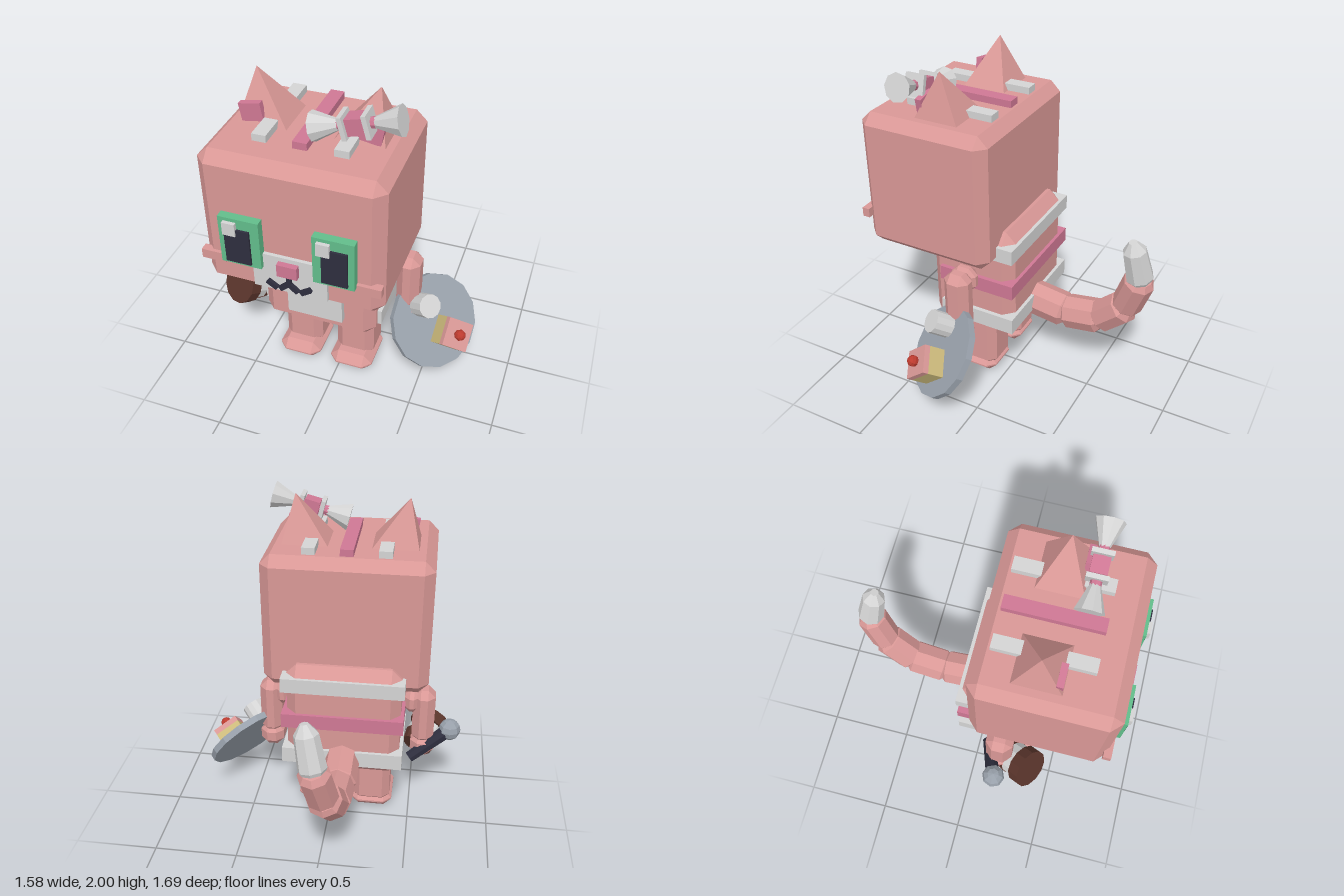
import * as THREE from 'three';
import { ConvexGeometry } from 'three/addons/geometries/ConvexGeometry.js';

const paint = (name, color) => {
  const m = new THREE.MeshStandardMaterial({ color });
  m.name = name;
  return m;
};
const V = (x, y, z) => new THREE.Vector3(x, y, z);
const MID = -0.09; // symmetry plane of the body

export function createModel() {
  const root = new THREE.Group();
  root.name = 'blockCat';
  const pink = paint('furPink', 0xd99896), white = paint('paleGrey', 0xd4d4d4),
    rose = paint('rose', 0xcf7894), green = paint('eyeGreen', 0x62bd8b),
    dark = paint('ink', 0x2e2e3e), brown = paint('brown', 0x59342b),
    steel = paint('steel', 0x99a1ab), yellow = paint('yellow', 0xcdbb7c),
    red = paint('red', 0xbd3b2f);

  // Faceted mesh
  const add = (name, geo, mat, pos = [0, 0, 0], parent = root) => {
    const g = geo.index ? geo.toNonIndexed() : geo;
    g.computeVertexNormals();
    const m = new THREE.Mesh(g, mat);
    m.name = name;
    m.position.set(...pos);
    parent.add(m);
    return m;
  };
  // Plain box from its limits
  const box = (name, mat, x0, x1, y0, y1, z0, z1) =>
    add(name, new THREE.BoxGeometry(x1 - x0, y1 - y0, z1 - z0), mat,
      [(x0 + x1) / 2, (y0 + y1) / 2, (z0 + z1) / 2]);
  // Box with every edge chamfered by c
  const chamfer = (name, mat, x0, x1, y0, y1, z0, z1, c) => {
    const h = [(x1 - x0) / 2, (y1 - y0) / 2, (z1 - z0) / 2], pts = [];
    for (const sx of [-1, 1]) for (const sy of [-1, 1]) for (const sz of [-1, 1])
      for (let k = 0; k < 3; k++) {
        const d = h.map((v, i) => (i === k ? v : v - c));
        pts.push(V(sx * d[0], sy * d[1], sz * d[2]));
      }
    return add(name, new ConvexGeometry(pts), mat,
      [(x0 + x1) / 2, (y0 + y1) / 2, (z0 + z1) / 2]);
  };
  // Turned part whose y axis runs from a to b; profile is [radius, fraction of length]
  const turned = (name, mat, a, b, profile, sides, parent = root) => {
    const dir = b.clone().sub(a), len = dir.length();
    const pts = profile.map(([r, t]) => new THREE.Vector2(r, t * len));
    const m = add(name, new THREE.LatheGeometry(pts, sides), mat, a.toArray(), parent);
    m.quaternion.setFromUnitVectors(V(0, 1, 0), dir.normalize());
    return m;
  };
  const rod = (r0, r1 = r0) => [[0, 0], [r0, 0], [r1, 1], [0, 1]];

  // Head and torso
  chamfer('head', pink, -0.58, 0.40, 0.91, 1.73, -0.02, 0.77, 0.06);
  chamfer('torso', pink, -0.43, 0.25, 0.38, 1.09, -0.10, 0.44, 0.06);
  box('bellyPatch', white, -0.255, 0.075, 0.51, 0.95, 0.43, 0.48);

  // Stripes round the back
  [['upperBand', white, 0.94, 1.03], ['middleBand', rose, 0.70, 0.79],
    ['lowerBand', white, 0.45, 0.55]].forEach(([n, m, y0, y1]) =>
    box(n, m, -0.45, 0.275, y0, y1, -0.12, 0.36));

  // Stripes on the crown
  [[-0.302, white], [-0.088, rose], [0.127, white]].forEach(([x, m]) =>
    box('crownStripe', m, x - 0.038, x + 0.038, 1.71, 1.77, 0.055, 0.587));

  // Paired parts; s = 1 is the model's left
  for (const s of [-1, 1]) {
    const side = s > 0 ? 'left' : 'right';
    const span = (a, b) => (s > 0 ? [MID + a, MID + b] : [MID - b, MID - a]);

    chamfer(side + 'Leg', pink, ...span(0.05, 0.285), 0.05, 0.46, 0.055, 0.29, 0.045);
    chamfer(side + 'Foot', pink, ...span(0.035, 0.30), 0, 0.11, 0.055, 0.385, 0.05);
    chamfer(side + 'Shoulder', pink, ...span(0.34, 0.455), 0.71, 0.865, 0.09, 0.25, 0.045);
    chamfer(side + 'Arm', pink, ...span(0.405, 0.54), 0.50, 0.865, 0.09, 0.25, 0.045);
    chamfer(side + 'Hand', pink, ...span(0.40, 0.545), 0.40, 0.55, 0.09, 0.28, 0.045);

    // Ear: leaning pyramid with an inner plate
    const ear = [];
    for (const x of [0.11, 0.395]) for (const z of [0.18, 0.46]) ear.push(V(MID + s * x, 1.71, z));
    ear.push(V(MID + s * 0.325, 1.99, 0.32));
    add(side + 'Ear', new ConvexGeometry(ear), pink);
    const inner = add(side + 'InnerEar', new THREE.BoxGeometry(0.12, 0.1, 0.035), rose,
      [MID + s * 0.315, 1.795, 0.428]);
    inner.rotation.z = -s * 0.17;

    // Eye
    box(side + 'Iris', green, ...span(0.14, 0.36), 1.115, 1.405, 0.75, 0.815);
    box(side + 'Pupil', dark, ...span(0.19, 0.327), 1.135, 1.345, 0.80, 0.828);
    const gx = s > 0 ? 0.112 : -0.385;
    box(side + 'EyeGlint', white, gx - 0.035, gx + 0.035, 1.31, 1.385, 0.80, 0.836);

    // Cheek tuft and mouth strokes
    box(side + 'Cheek', pink, ...span(0.355, 0.49), 1.08, 1.135, 0.745, 0.79);
    [[0.025, 1.022, -0.75], [0.092, 1.018, 0.6]].forEach(([x, y, r]) => {
      const m = add(side + 'Mouth', new THREE.BoxGeometry(0.065, 0.027, 0.025), dark,
        [MID + s * x, y, 0.797]);
      m.rotation.z = s * r;
    });
  }
  box('muzzle', white, -0.29, 0.115, 0.975, 1.2, 0.75, 0.79);
  box('nose', rose, -0.145, -0.035, 1.10, 1.175, 0.77, 0.822);
  box('mouthCentre', dark, -0.1, -0.076, 1.025, 1.10, 0.785, 0.81);

  // Tail: chain of faceted segments
  const joints = [V(-0.09, 0.485, -0.05), V(-0.09, 0.45, -0.305), V(-0.085, 0.49, -0.53),
    V(-0.06, 0.645, -0.69), V(-0.02, 0.88, -0.775), V(0.03, 1.145, -0.73)];
  const radii = [0.107, 0.105, 0.102, 0.092, 0.08];
  radii.forEach((r, i) => {
    const tip = i === 4;
    turned(tip ? 'tailTip' : 'tailSegment', tip ? white : pink, joints[i], joints[i + 1],
      tip ? [[0, 0], [r * 0.85, 0], [r, 0.08], [r * 0.85, 0.78], [r * 0.3, 1], [0, 1]]
        : [[0, -0.06], [r * 0.7, -0.06], [r, 0.08], [r, 0.92], [r * 0.7, 1.06], [0, 1.06]], 8);
  });

  // Bow on the left ear
  const bow = new THREE.Group();
  bow.name = 'bow';
  bow.position.set(0.167, 1.867, 0.48);
  bow.rotation.z = 0.26;
  root.add(bow);
  add('bowKnot', new THREE.BoxGeometry(0.09, 0.09, 0.09), rose, [0, 0, 0], bow);
  turned('bowCore', rose, V(-0.12, 0, 0), V(0.12, 0, 0), rod(0.03), 8, bow);
  for (const s of [-1, 1]) {
    add('bowRing', new THREE.BoxGeometry(0.025, 0.125, 0.115), white, [s * 0.063, 0, 0], bow);
    turned('bowLoop', white, V(s * 0.085, 0, 0), V(s * 0.232, 0, 0), rod(0.025, 0.08), 9, bow);
  }

  // Shield: local y is its outward axis, local x runs from the boss to the block
  const shield = new THREE.Group();
  shield.name = 'shield';
  const n = V(0.63, 0.56, 0.54).normalize();
  const u = V(0.68, -0.73, -0.03).addScaledVector(n, -n.dot(V(0.68, -0.73, -0.03))).normalize();
  shield.quaternion.setFromRotationMatrix(
    new THREE.Matrix4().makeBasis(u, n, u.clone().cross(n)));
  shield.position.set(0.545, 0.41, 0.187);
  root.add(shield);
  add('shieldDisc', new THREE.CylinderGeometry(0.28, 0.28, 0.04, 14), steel, [0, 0, 0], shield);
  add('shieldBoss', new THREE.CylinderGeometry(0.07, 0.07, 0.12, 12), white, [-0.143, 0.08, 0], shield);
  const block = new THREE.Group();
  block.name = 'shieldBlock';
  block.position.set(0.103, 0, 0);
  block.rotation.y = 0.43;
  shield.add(block);
  add('blockBase', new THREE.BoxGeometry(0.165, 0.1, 0.165), yellow, [0, 0.07, 0], block);
  add('blockTop', new THREE.BoxGeometry(0.165, 0.035, 0.165), pink, [0, 0.137, 0], block);
  add('blockBead', new THREE.SphereGeometry(0.034, 8, 6), red, [0, 0.175, 0], block);

  // Drum held in the right hand
  const d0 = V(-0.53, 0.42, 0.2), d1 = V(-0.62, 0.52, 0.38);
  const at = t => d0.clone().lerp(d1, t);
  turned('drumBack', brown, at(0), at(0.34), rod(0.095, 0.108), 12);
  turned('drumBand', white, at(0.34), at(0.68), rod(0.104), 12);
  turned('drumFront', brown, at(0.68), at(1), rod(0.122), 12);

  // Baton with a round steel head
  turned('batonHandle', dark, V(-0.49, 0.41, 0.08), V(-0.71, 0.565, 0.165), rod(0.035, 0.045), 8);
  add('batonHead', new THREE.SphereGeometry(0.068, 8, 6), steel, [-0.728, 0.578, 0.172]);

  return root;
}
